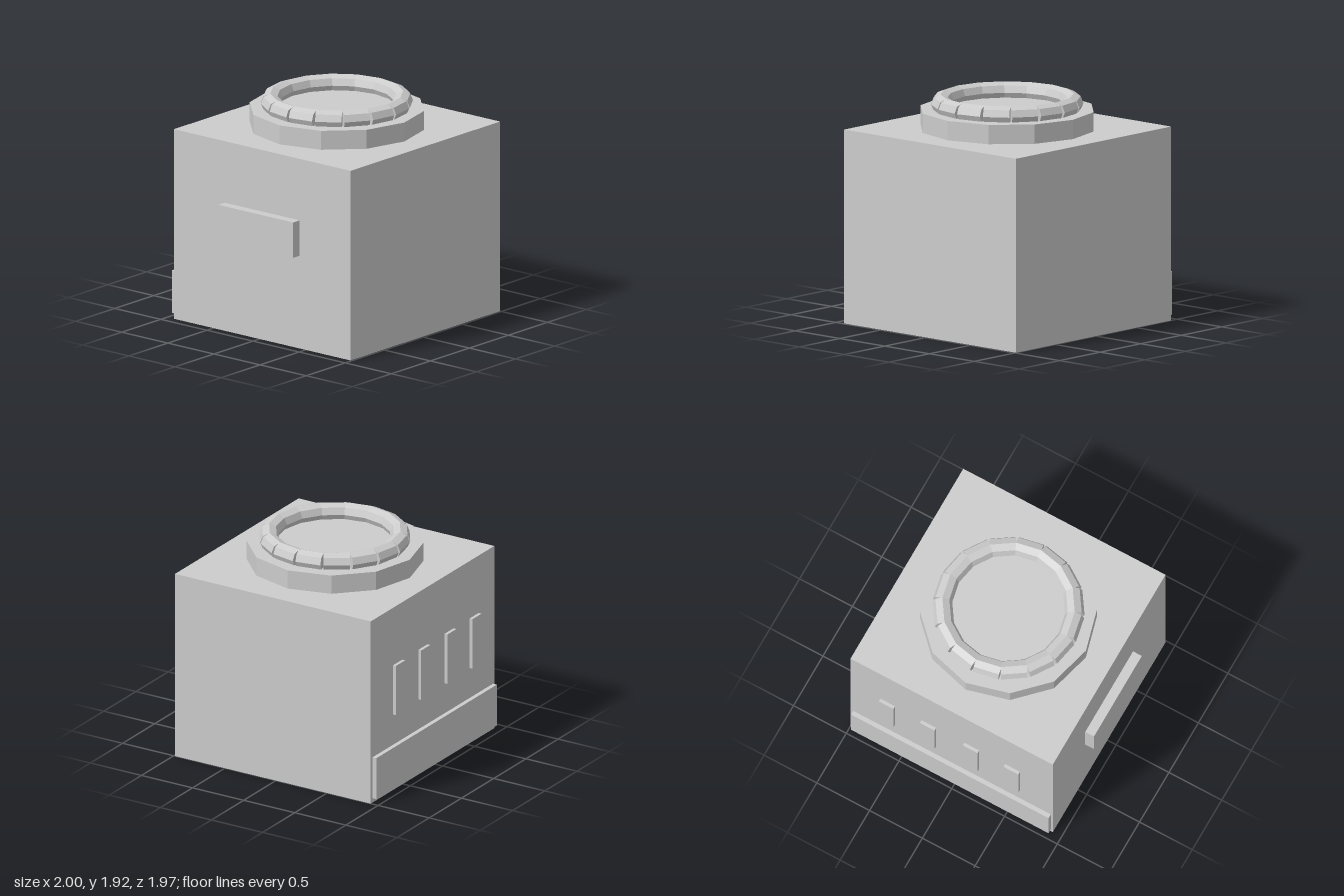
import * as THREE from 'three';

export function createModel() {
  const model = new THREE.Group();
  const grey = new THREE.MeshStandardMaterial({ color: 0xcccccc });
  grey.name = 'plain grey';

  // Box given by its lower and upper corners
  const addBox = (name, [x0, y0, z0], [x1, y1, z1]) => {
    const mesh = new THREE.Mesh(new THREE.BoxGeometry(x1 - x0, y1 - y0, z1 - z0), grey);
    mesh.position.set((x0 + x1) / 2, (y0 + y1) / 2, (z0 + z1) / 2);
    mesh.name = name;
    model.add(mesh);
  };

  // Faceted cylinder with hard edges
  const facetedCylinder = (radius, height, sides) => {
    const geometry = new THREE.CylinderGeometry(radius, radius, height, sides).toNonIndexed();
    geometry.computeVertexNormals();
    return geometry;
  };

  // Main block and the tab on its side
  addBox('body', [-0.917, 0, -0.928], [1, 1.634, 0.987]);
  addBox('sideTab', [-1, 0.8, -0.377], [-0.917, 1.104, 0.436]);

  // Back strip and the row of upright plates standing just clear of the back
  addBox('backStrip', [-0.898, 0.04, -0.966], [0.973, 0.406, -0.928]);
  for (const x of [-0.553, -0.167, 0.24, 0.63]) {
    addBox('backPlate', [x - 0.07, 0.7, -0.987], [x + 0.07, 1.143, -0.959]);
  }

  // Twelve-sided plinth on top
  const cx = 0.037, cz = 0.031;
  const plinth = new THREE.Mesh(facetedCylinder(0.733, 0.163, 12), grey);
  plinth.position.set(cx, 1.7155, cz);
  plinth.name = 'topPlinth';
  model.add(plinth);

  // Ring of sixteen straight eight-sided bars, open at the outer joints
  const ring = new THREE.Group();
  ring.name = 'topRing';
  ring.position.set(cx, 1.841, cz);
  const bar = facetedCylinder(0.081, 0.22, 8);
  bar.rotateZ(Math.PI / 2);
  bar.translate(0, 0, 0.541);
  for (let i = 0; i < 16; i++) {
    const segment = new THREE.Mesh(bar, grey);
    segment.rotation.y = ((i + 0.5) / 16) * Math.PI * 2;
    segment.name = 'ringSegment';
    ring.add(segment);
  }
  model.add(ring);

  return model;
}
